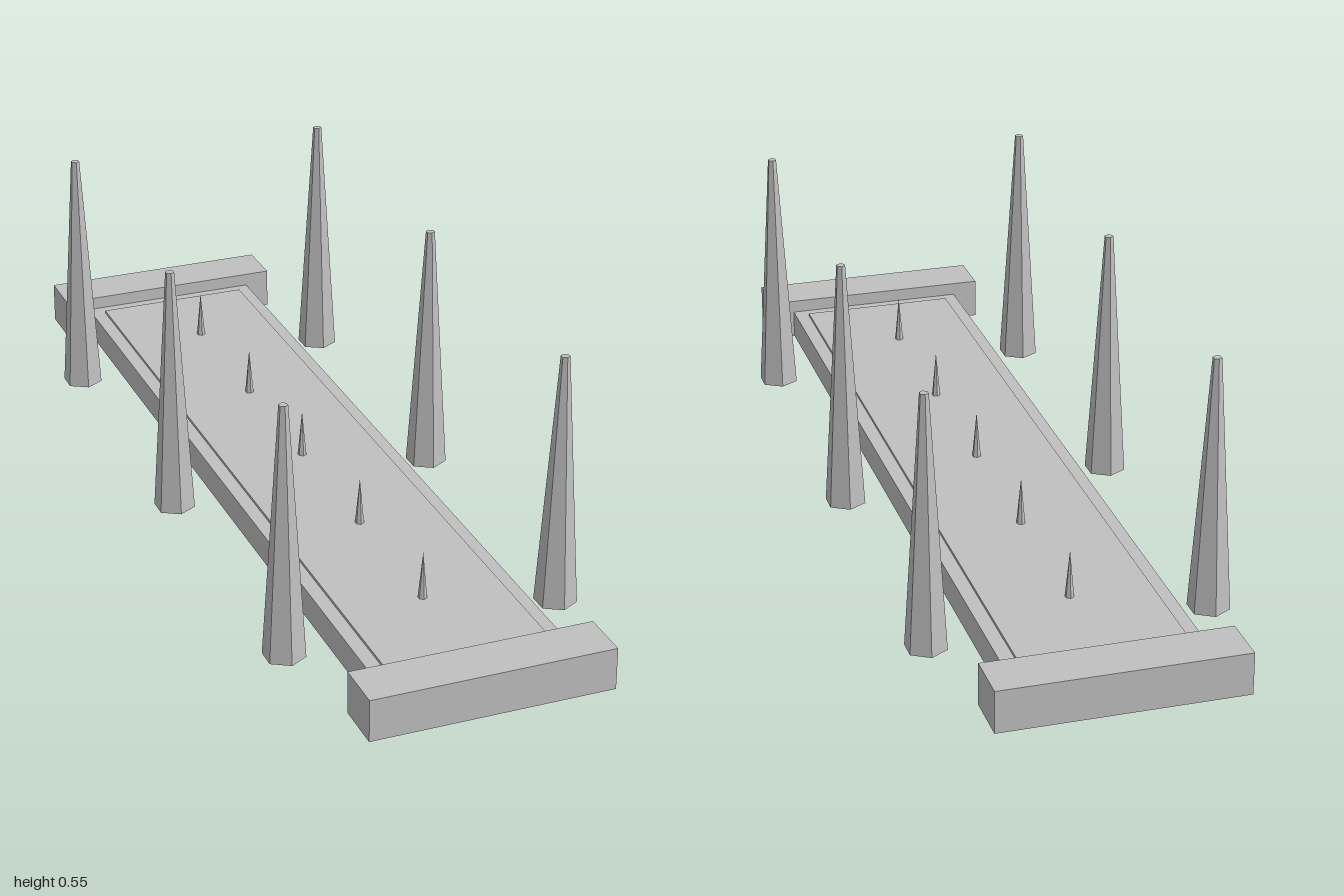
import * as THREE from 'three';

export function createModel() {
  const model = new THREE.Group();
  const stone = new THREE.MeshStandardMaterial({ color: 0xc0c0c0, flatShading: true });
  stone.name = 'grey stone';

  const add = (name, geometry, x, y, z) => {
    const mesh = new THREE.Mesh(geometry, stone);
    mesh.name = name;
    mesh.position.set(x, y, z);
    model.add(mesh);
  };
  // Box standing on height y
  const slab = (name, w, h, d, y, z) =>
    add(name, new THREE.BoxGeometry(w, h, d), 0, y + h / 2, z);

  // Long base with a thin raised plate on top
  slab('base', 0.4, 0.062, 1.79, 0, 0);
  slab('raisedPlate', 0.34, 0.006, 1.72, 0.062, 0);

  // Wider blocks closing both ends
  for (const s of [1, -1]) slab(s > 0 ? 'frontEndBlock' : 'backEndBlock', 0.51, 0.09, 0.108, 0, s * 0.946);

  // Tapered six-sided pillars along both sides
  const pillar = new THREE.CylinderGeometry(0.0095, 0.044, 0.545, 6);
  for (const x of [0.292, -0.292])
    for (const z of [0.655, 0, -0.655])
      add(x > 0 ? 'leftPillar' : 'rightPillar', pillar, x, 0.2725, z);

  // Small spikes along the centre line
  const spike = new THREE.ConeGeometry(0.0095, 0.102, 6);
  for (let i = -2; i <= 2; i++) add('spike', spike, 0, 0.119, i * 0.3275);

  return model;
}
